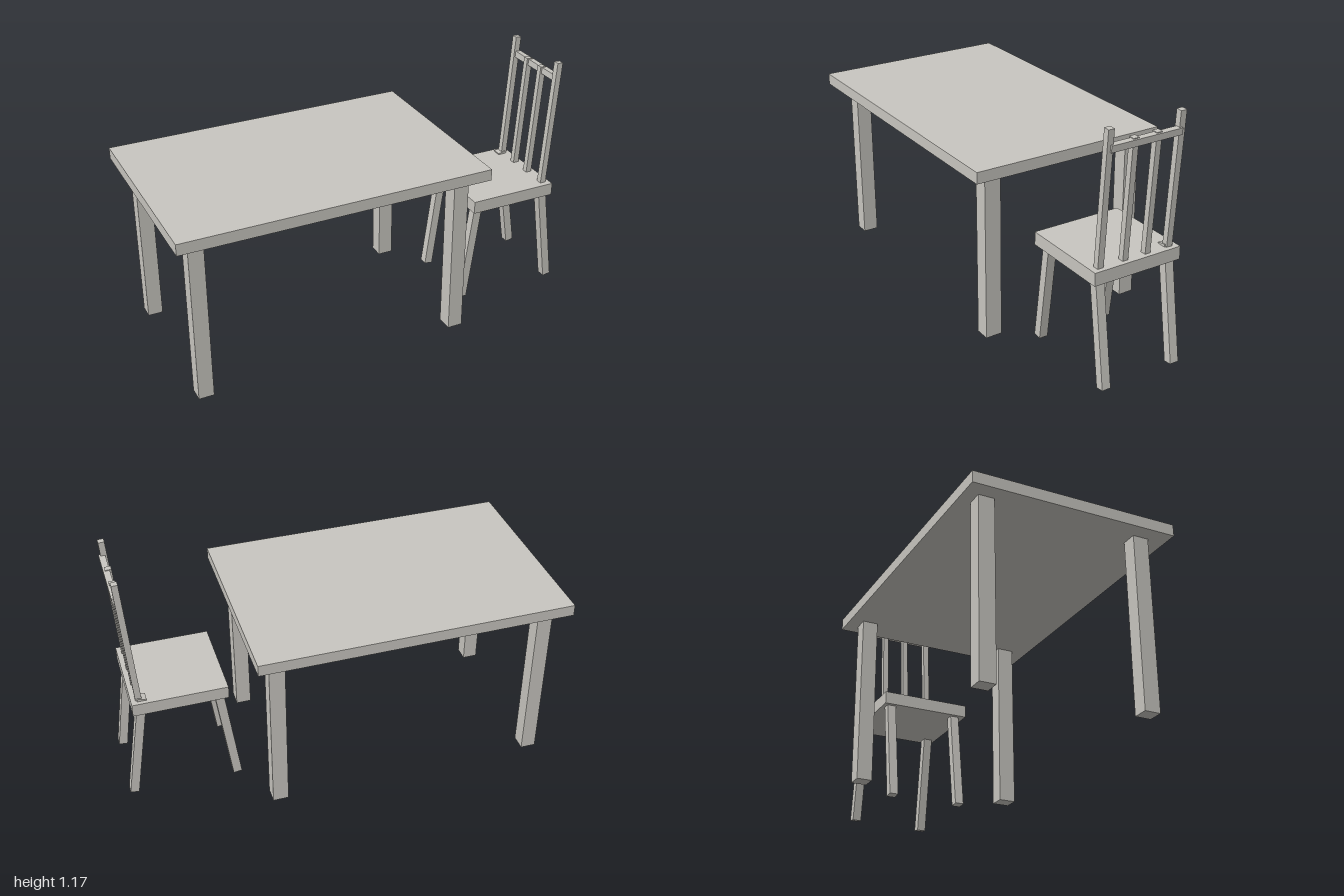
import * as THREE from 'three';

export function createModel() {
  const model = new THREE.Group();
  const paint = new THREE.MeshStandardMaterial({ color: 0xc8c6c0 });
  paint.name = 'warmGrey';

  // Axis-aligned box given by its limits on each axis
  function block(parent, name, [x0, x1], [y0, y1], [z0, z1]) {
    const mesh = new THREE.Mesh(new THREE.BoxGeometry(x1 - x0, y1 - y0, z1 - z0), paint);
    mesh.position.set((x0 + x1) / 2, (y0 + y1) / 2, (z0 + z1) / 2);
    mesh.name = name;
    parent.add(mesh);
  }

  // Square bar leaning in the xy plane, from its bottom to its top centre
  function bar(parent, name, [x0, y0], [x1, y1], z, thickX, thickZ) {
    const length = Math.hypot(x1 - x0, y1 - y0);
    const mesh = new THREE.Mesh(new THREE.BoxGeometry(thickX, length, thickZ), paint);
    mesh.position.set((x0 + x1) / 2, (y0 + y1) / 2, z);
    mesh.rotation.z = -Math.atan2(x1 - x0, y1 - y0);
    mesh.name = name;
    parent.add(mesh);
  }

  // Table
  const table = new THREE.Group();
  table.name = 'table';
  block(table, 'tableTop', [-1, 0.44], [0.8, 0.853], [-0.468, 0.468]);
  block(table, 'tableLegFrontRight', [-0.93, -0.86], [0.012, 0.81], [0.313, 0.385]);
  block(table, 'tableLegBackRight', [-0.93, -0.86], [0, 0.81], [-0.408, -0.336]);
  block(table, 'tableLegFrontLeft', [0.302, 0.373], [0.01, 0.81], [0.313, 0.391]);
  block(table, 'tableLegBackLeft', [0.308, 0.38], [0.01, 0.81], [-0.408, -0.336]);

  // Chair seat and splayed legs
  const chair = new THREE.Group();
  chair.name = 'chair';
  block(chair, 'seat', [0.513, 0.943], [0.492, 0.552], [-0.2, 0.232]);
  bar(chair, 'chairLegInner', [0.49, 0.019], [0.556, 0.52], 0.18, 0.04, 0.042);
  bar(chair, 'chairLegInner', [0.49, 0.019], [0.556, 0.52], -0.16, 0.04, 0.042);
  bar(chair, 'chairLegOuter', [0.971, 0.019], [0.898, 0.535], 0.192, 0.04, 0.042);
  bar(chair, 'chairLegOuter', [0.976, 0.028], [0.894, 0.561], -0.16, 0.04, 0.042);

  // Backrest: posts and spindles share one lean
  const lean = 0.066;
  const along = (y) => [0.908 + (y - 0.55) * lean, y];
  bar(chair, 'backPost', along(0.54), along(1.16), 0.19, 0.028, 0.029);
  bar(chair, 'backPost', along(0.54), along(1.165), -0.159, 0.028, 0.029);
  for (const z of [0.067, -0.046]) {
    bar(chair, 'spindle', along(0.54), along(1.097), z, 0.028, 0.027);
  }
  bar(chair, 'topRail', [0.95, 1.063], [0.952, 1.093], 0.016, 0.028, 0.346);

  model.add(table, chair);
  return model;
}
